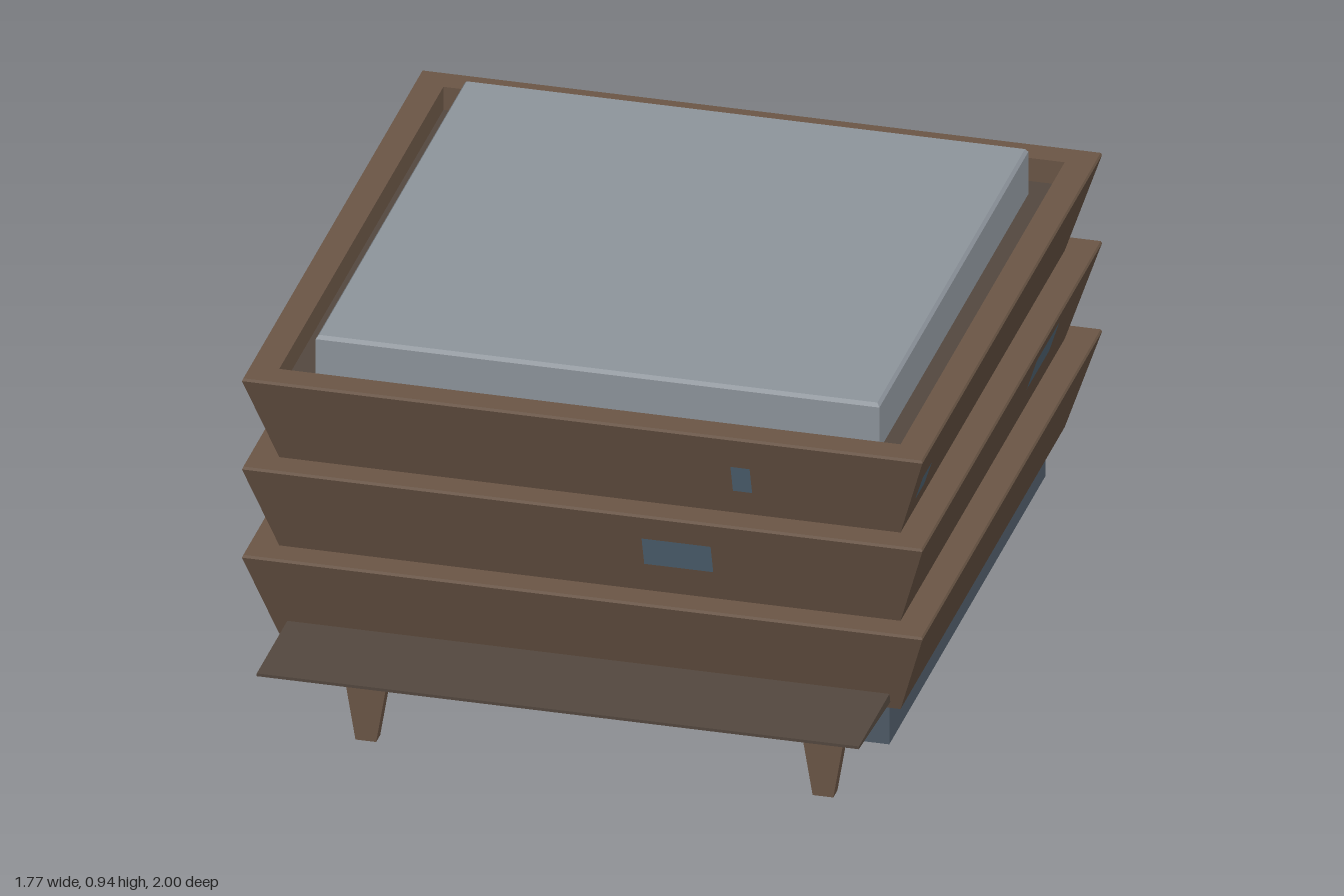
import * as THREE from 'three';

const HOUSE_Z = -0.12;      // centre of the house body
const DEPTH = 0.994;        // depth relative to width
const TIER_H = 0.25, FIRST = 0.125, INNER = 0.81, OUTER = 0.887;

const mat = (color) => new THREE.MeshStandardMaterial({ color, flatShading: true, side: THREE.DoubleSide });
const wood = mat(0x6b5646), darkWood = mat(0x54483f), stone = mat(0x4f5b67);
const roofing = mat(0x8e959c), glass = mat(0x566b7b);

function add(parent, name, geometry, material) {
  const flat = geometry.index ? geometry.toNonIndexed() : geometry;
  flat.computeVertexNormals();
  const mesh = new THREE.Mesh(flat, material);
  mesh.name = name;
  parent.add(mesh);
  return mesh;
}

// Square shell from a profile of [half width, height] points
function squareShell(profile) {
  const pts = profile.map(([h, y]) => new THREE.Vector2(h * Math.SQRT2, y));
  return new THREE.LatheGeometry(pts, 4, Math.PI / 4).scale(1, 1, DEPTH);
}

// Window lying on the sloped wall of a tier; u runs along the wall
function windowPane(tier, u0, u1, y0, y1, isSide) {
  const g = new THREE.PlaneGeometry(u1 - u0, y1 - y0).translate((u0 + u1) / 2, (y0 + y1) / 2, 0);
  const p = g.attributes.position;
  const bottom = FIRST + tier * TIER_H;
  for (let i = 0; i < p.count; i++) {
    const t = (p.getY(i) - bottom) / (TIER_H - 0.007);
    const half = INNER + (OUTER - INNER) * t;
    p.setZ(i, half * (isSide ? 1 : DEPTH) + 0.003);
  }
  return g;
}

export function createModel() {
  const model = new THREE.Group();
  model.name = 'tieredHouse';
  const house = new THREE.Group();
  house.name = 'house';
  house.position.z = HOUSE_Z;
  model.add(house);

  // Open foundation
  add(house, 'foundation', squareShell([[0.77, 0], [0.77, 0.13]]), stone);
  add(house, 'foundationLedge', squareShell([[0.77, 0.128], [INNER, 0.128]]), darkWood);

  // Flared tiers with a flat ledge on top of each
  for (let i = 0; i < 3; i++) {
    const y = FIRST + i * TIER_H, top = y + TIER_H;
    const profile = [[INNER, y], [OUTER, top - 0.007], [OUTER - 0.003, top], [INNER, top]];
    if (i === 2) profile.push([INNER, 0.81]);
    add(house, 'tier' + (i + 1), squareShell(profile), wood);
  }

  // Recessed deck and raised roof
  add(house, 'roofDeck', squareShell([[0.866, 0.81], [0, 0.81]]), darkWood);
  add(house, 'roof', squareShell([[0.735, 0.812], [0.735, 0.932], [0.728, 0.942], [0, 0.942]]), roofing);

  // Windows: wall angle, then [tier, u0, u1, y0, y1]
  const walls = [
    ['front', 0, [[2, 0.38, 0.43, 0.70, 0.78], [1, 0.15, 0.33, 0.465, 0.55]]],
    ['left', Math.PI / 2, [[2, -0.77, -0.68, 0.705, 0.77], [1, 0.265, 0.485, 0.505, 0.59]]],
    ['back', Math.PI, [[2, -0.77, -0.65, 0.71, 0.77], [2, 0.65, 0.775, 0.71, 0.77]]],
    ['right', -Math.PI / 2, [[2, -0.66, 0.65, 0.655, 0.705], [1, 0.21, 0.295, 0.39, 0.56]]],
  ];
  for (const [name, angle, panes] of walls) {
    const isSide = name === 'left' || name === 'right';
    for (const pane of panes) {
      add(house, name + 'Window', windowPane(...pane, isSide), glass).rotation.y = angle;
    }
  }

  // Porch: thin wedge, thicker towards the house
  const side = new THREE.Shape([
    new THREE.Vector2(1, 0.172), new THREE.Vector2(0.66, 0.172),
    new THREE.Vector2(0.66, 0.143), new THREE.Vector2(1, 0.164),
  ]);
  const porch = new THREE.ExtrudeGeometry(side, { depth: 1.57, bevelEnabled: false });
  porch.rotateY(-Math.PI / 2).translate(0.785, 0, 0);
  add(model, 'porch', porch, darkWood);

  // Tapered porch posts
  for (const x of [-0.51, 0.682]) {
    const shape = new THREE.Shape([
      new THREE.Vector2(-0.027, 0), new THREE.Vector2(0.027, 0),
      new THREE.Vector2(0.054, 0.163), new THREE.Vector2(-0.054, 0.163),
    ]);
    const post = new THREE.ExtrudeGeometry(shape, { depth: 0.04, bevelEnabled: false });
    add(model, 'porchPost', post, wood).position.set(x, 0, 0.925);
  }
  return model;
}
